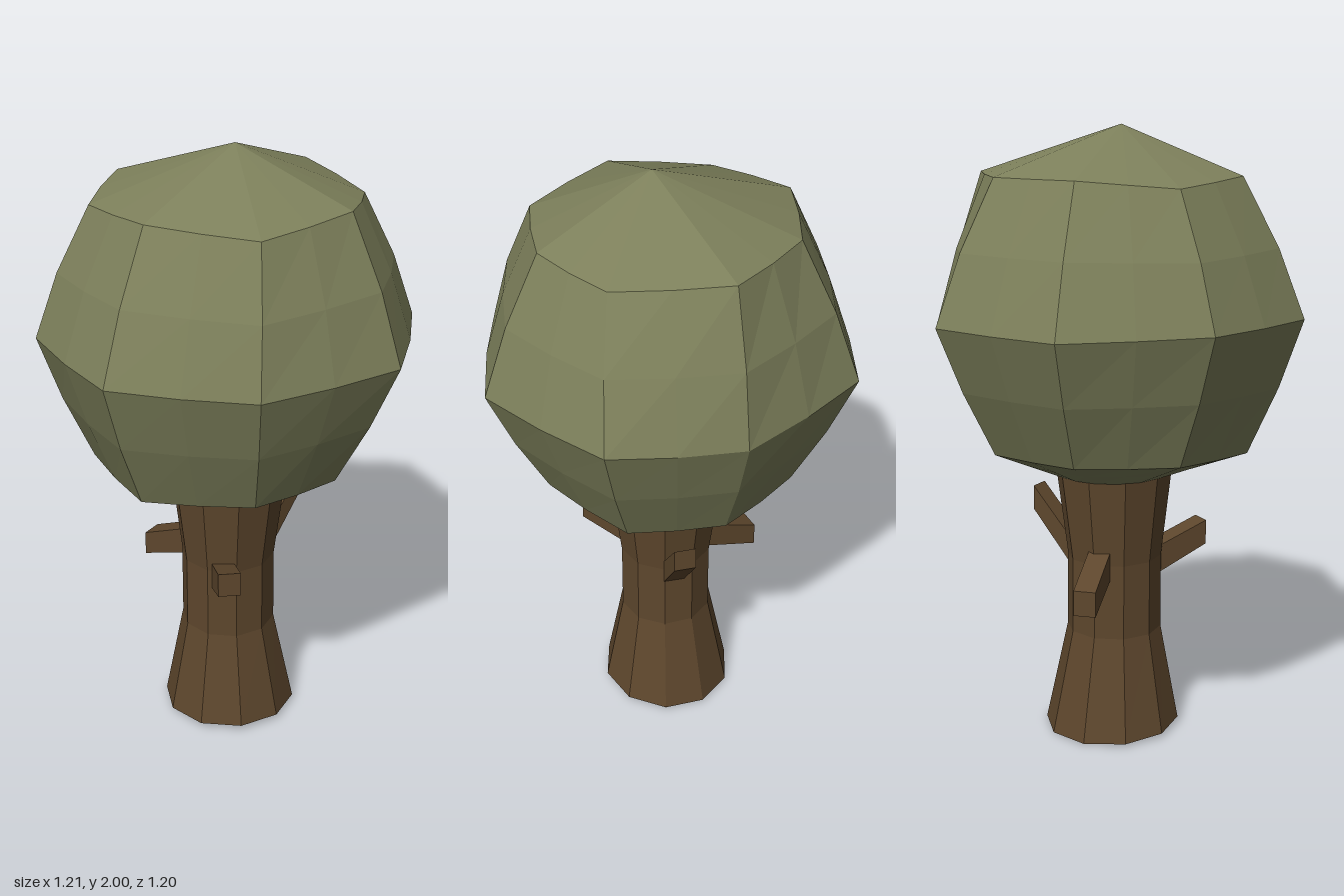
import * as THREE from 'three';

// Flat-shaded skin over stacked rings (bottom to top) with equal point counts.
function loft(rings) {
  const n = rings[0].length;
  const index = [];
  for (let i = 0; i < rings.length - 1; i++) {
    for (let j = 0; j < n; j++) {
      const a = i * n + j, b = i * n + (j + 1) % n;
      index.push(a, a + n, b, b, a + n, b + n);
    }
  }
  const geo = new THREE.BufferGeometry();
  geo.setAttribute('position', new THREE.Float32BufferAttribute(rings.flat(2), 3));
  geo.setIndex(index);
  const flat = geo.toNonIndexed();
  flat.computeVertexNormals();
  return flat;
}

const mid = (a, b) => a.map((v, k) => (v + b[k]) / 2);
const bulge = (p, s) => [p[0] * s, p[1], p[2] * s];
const point = (x, y, z, n) => Array.from({ length: n }, () => [x, y, z]);

// Regular ring running clockwise seen from above, starting at the back.
function circle(n, r, cx, cz, height) {
  return Array.from({ length: n }, (_, j) => {
    const t = (j / n) * Math.PI * 2;
    const x = cx + r * Math.sin(t), z = cz - r * Math.cos(t);
    return [x, height(x, z), z];
  });
}

function crownGeometry() {
  // Eight corners per ring: x, y, z
  const lower = [[0, .985, -.41], [.29, .98, -.28], [.41, .97, 0], [.28, .985, .31],
    [0, .985, .44], [-.33, .975, .32], [-.44, .99, 0], [-.3, .99, -.29]];
  const middle = [[0, 1.4, -.6], [.425, 1.39, -.38], [.605, 1.4, -.01], [.435, 1.4, .43],
    [-.02, 1.4, .6], [-.445, 1.41, .445], [-.605, 1.41, .01], [-.435, 1.4, -.42]];
  const upper = [[0, 1.845, -.4], [.31, 1.85, -.3], [.415, 1.825, .04], [.31, 1.845, .29],
    [.01, 1.82, .44], [-.3, 1.845, .305], [-.425, 1.82, 0], [-.305, 1.845, -.285]];
  // Add a point in the middle of every edge
  const fine = (ring) => ring.flatMap((p, j) => [p, bulge(mid(p, ring[(j + 1) % 8]), 1.02)]);
  const between = (a, b, s) => a.map((p, j) => bulge(mid(p, b[j]), s));

  const under = circle(16, .19, 0, .01, () => .885);
  const [lo, me, up] = [lower, middle, upper].map(fine);
  const tip = point(.01, 2, .05, 16);
  return loft([point(0, .89, .01, 16), under, between(under, lo, 1), lo, between(lo, me, 1.02),
    me, between(me, up, 1.03), up, between(up, tip, 1), tip]);
}

function trunkGeometry() {
  const sides = 10;
  const foot = circle(sides, .225, 0, .012, (x, z) => .012 + .05 * z);
  const rings = [[.157, -.005, .017, .35], [.156, -.006, .017, .6], [.196, -.004, .015, .93]]
    .map(([r, cx, cz, y]) => circle(sides, r, cx, cz, () => y));
  return loft([point(0, .012, .01, sides), foot, ...rings, point(0, .93, .01, sides)]);
}

// Sheared box whose end faces stay upright
function branchGeometry(base, tip) {
  const geo = new THREE.BoxGeometry(1, 1, 1).toNonIndexed();
  const pos = geo.attributes.position;
  const dx = tip[0] - base[0], dz = tip[2] - base[2], len = Math.hypot(dx, dz);
  for (let i = 0; i < pos.count; i++) {
    const t = pos.getZ(i) + .5;
    const w = pos.getX(i) * .072, h = pos.getY(i) * (.095 - .013 * t);
    pos.setXYZ(i,
      base[0] + dx * t + (dz / len) * w,
      base[1] + (tip[1] - base[1]) * t + h,
      base[2] + dz * t - (dx / len) * w);
  }
  geo.computeVertexNormals();
  return geo;
}

export function createModel() {
  const leaf = new THREE.MeshStandardMaterial({ color: 0x7d805b, flatShading: true });
  leaf.name = 'leaf green';
  const bark = new THREE.MeshStandardMaterial({ color: 0x5e472d, flatShading: true });
  bark.name = 'bark brown';

  const tree = new THREE.Group();
  tree.name = 'tree';
  const add = (name, geo, mat) => {
    const mesh = new THREE.Mesh(geo, mat);
    mesh.name = name;
    tree.add(mesh);
  };

  add('crown', crownGeometry(), leaf);
  add('trunk', trunkGeometry(), bark);
  add('leftBranch', branchGeometry([.08, .53, -.03], [.245, .76, -.135]), bark);
  add('frontBranch', branchGeometry([-.045, .56, .1], [-.058, .65, .325]), bark);
  add('backBranch', branchGeometry([-.1, .6, -.09], [-.235, .53, -.22]), bark);
  return tree;
}
